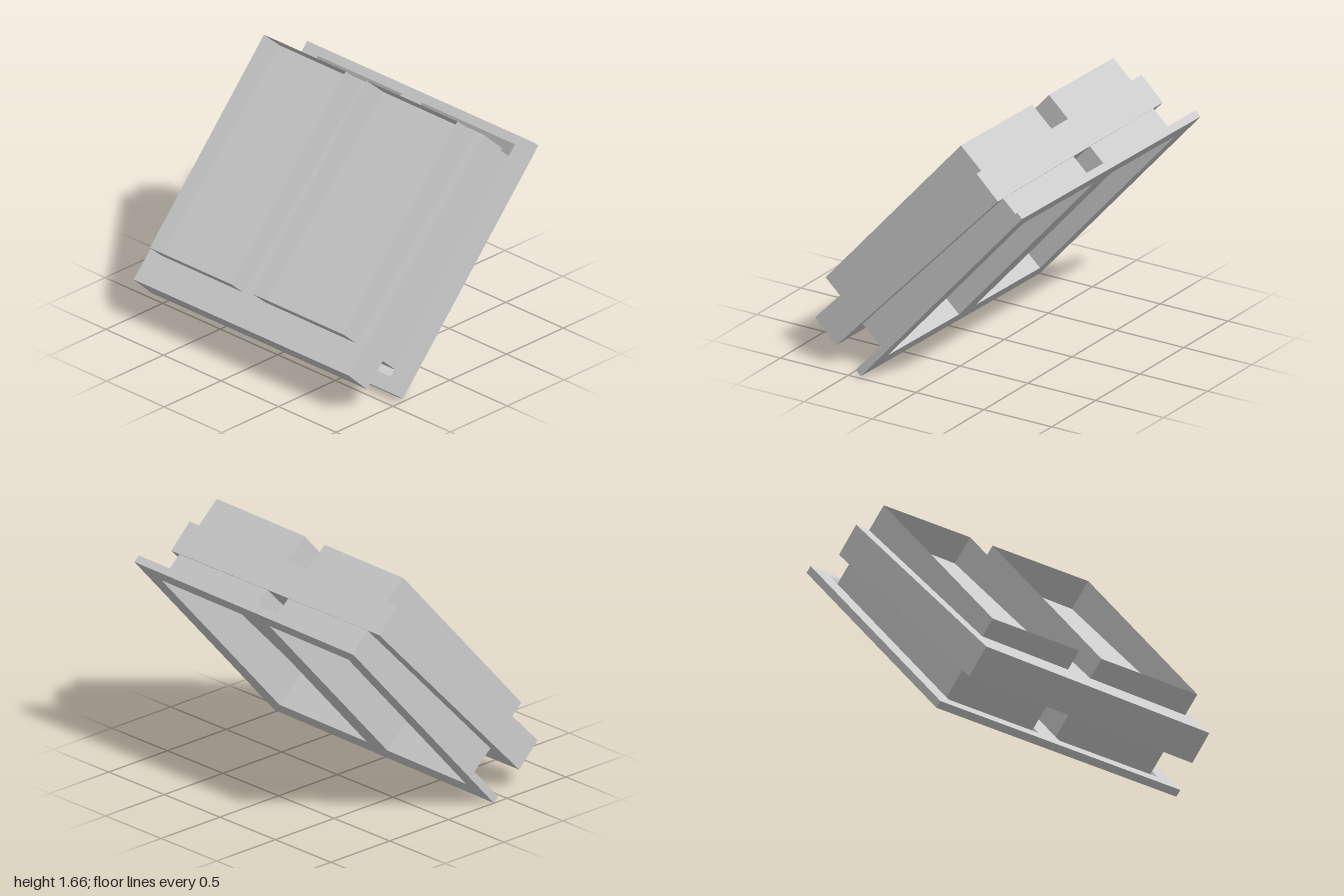
import * as THREE from 'three';

const material = new THREE.MeshStandardMaterial({ color: 0xcccccc, flatShading: true, side: THREE.DoubleSide });

// Rectangle given as [x0, x1, y0, y1], anticlockwise corners
const corners = ([x0, x1, y0, y1]) => [[x0, y0], [x1, y0], [x1, y1], [x0, y1]];

// Four walls joining rectangle a at depth za to rectangle b at depth zb
function walls(name, a, za, b, zb) {
  const p = corners(a), q = corners(b), pos = [];
  for (let i = 0; i < 4; i++) {
    const j = (i + 1) % 4;
    const A = [...p[i], za], B = [...p[j], za], C = [...q[j], zb], D = [...q[i], zb];
    pos.push(...A, ...B, ...C, ...A, ...C, ...D);
  }
  const geo = new THREE.BufferGeometry();
  geo.setAttribute('position', new THREE.Float32BufferAttribute(pos, 3));
  geo.computeVertexNormals();
  const mesh = new THREE.Mesh(geo, material);
  mesh.name = name;
  return mesh;
}

// Flat sheet with rectangular openings
function sheet(name, outer, holes, z) {
  const toVec = (r) => corners(r).map(([x, y]) => new THREE.Vector2(x, y));
  const shape = new THREE.Shape(toVec(outer));
  holes.forEach((h) => shape.holes.push(new THREE.Path(toVec(h).reverse())));
  const mesh = new THREE.Mesh(new THREE.ShapeGeometry(shape), material);
  mesh.position.z = z;
  mesh.name = name;
  return mesh;
}

export function createModel() {
  const model = new THREE.Group();
  model.name = 'tiltedTwinDuct';

  // Base frame and ducts share one slightly skewed, sloping plane
  const frame = new THREE.Group();
  frame.name = 'baseFrame';
  frame.position.set(0, 0.7, -0.16);
  frame.rotation.set(-0.73, -0.011, 0.007, 'ZYX');
  model.add(frame);

  const thickness = 0.05, ductTop = 0.572;
  const outline = [-0.997, 0.997, -0.893, 0.893];
  const ducts = [
    { side: 'right', bore: [-0.852, -0.134, -0.745, 0.755], rim: [-0.873, -0.126, -0.8, 0.835] },
    { side: 'left', bore: [0.052, 0.848, -0.745, 0.755], rim: [0.045, 0.868, -0.8, 0.835] },
  ];
  frame.add(
    sheet('frameFront', outline, ducts.map((d) => d.rim), 0),
    sheet('frameBack', outline, ducts.map((d) => d.bore), -thickness),
    walls('frameEdge', outline, -thickness, outline, 0),
  );

  // Thin ducts, open at both ends, with a bevelled recess in the frame
  for (const { side, bore, rim } of ducts) {
    frame.add(
      walls(side + 'Duct', bore, -thickness, bore, ductTop),
      walls(side + 'Bevel', rim, 0, bore, -thickness),
    );
  }

  // Solid slab crossing both ducts
  const slab = new THREE.Mesh(new THREE.BoxGeometry(1.872, 1.719, 0.218), material);
  slab.name = 'slab';
  slab.position.set(-0.021, 0.828, 0.126);
  slab.rotation.x = -0.765;
  model.add(slab);

  return model;
}
